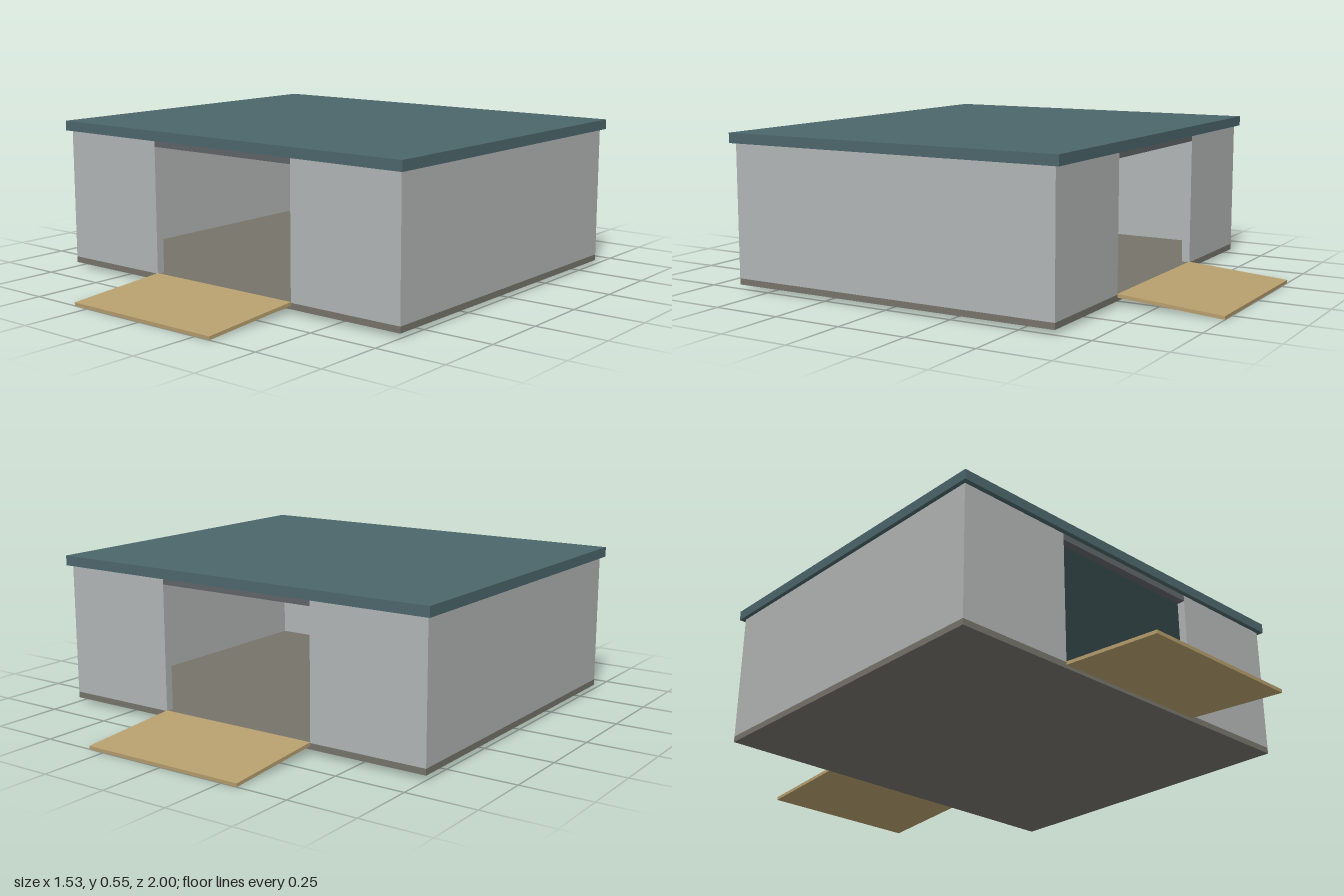
import * as THREE from 'three';

const paint = (color) => new THREE.MeshStandardMaterial({ color });

export function createModel() {
  const group = new THREE.Group();
  const wall = paint(0xb2b5b5);
  const floor = paint(0x75736a);
  const roof = paint(0x4c666b);
  const steel = paint(0x606466);
  const wood = paint(0xb79f6e);

  const box = (name, size, pos, material) => {
    const mesh = new THREE.Mesh(new THREE.BoxGeometry(...size), material);
    mesh.name = name;
    mesh.position.set(...pos);
    group.add(mesh);
    return mesh;
  };

  const W = 0.75, D = 0.625;          // half width and half depth
  const y0 = 0.04, y1 = 0.517;        // wall foot and top
  const door = 0.312, t = 0.03;       // half opening and wall thickness
  const h = y1 - y0, yMid = (y0 + y1) / 2;

  box('floor', [2 * W, 0.022, 2 * D], [0, 0.029, 0], floor);
  box('roof', [1.53, 0.036, 1.286], [0, 0.535, 0], roof);

  // Solid side walls
  for (const s of [-1, 1]) {
    box('sideWall', [t, h, 2 * D], [s * (W - t / 2), yMid, 0], wall);
  }

  // Front and back: two panels, a header over the opening and a sloping ramp
  for (const s of [-1, 1]) {
    const z = s * (D - t / 2);
    for (const sx of [-1, 1]) {
      const w = W - t - door;
      box('endWallPanel', [w, h, t], [sx * (door + w / 2), yMid, z], wall);
    }
    box('doorHeader', [2 * door, 0.023, t], [0, y1 - 0.0115, z], steel);

    const ramp = box('ramp', [2 * door, 0.012, 0.377], [0, 0.0225, s * 0.812], wood);
    ramp.rotation.x = s * 0.075;
  }

  return group;
}
